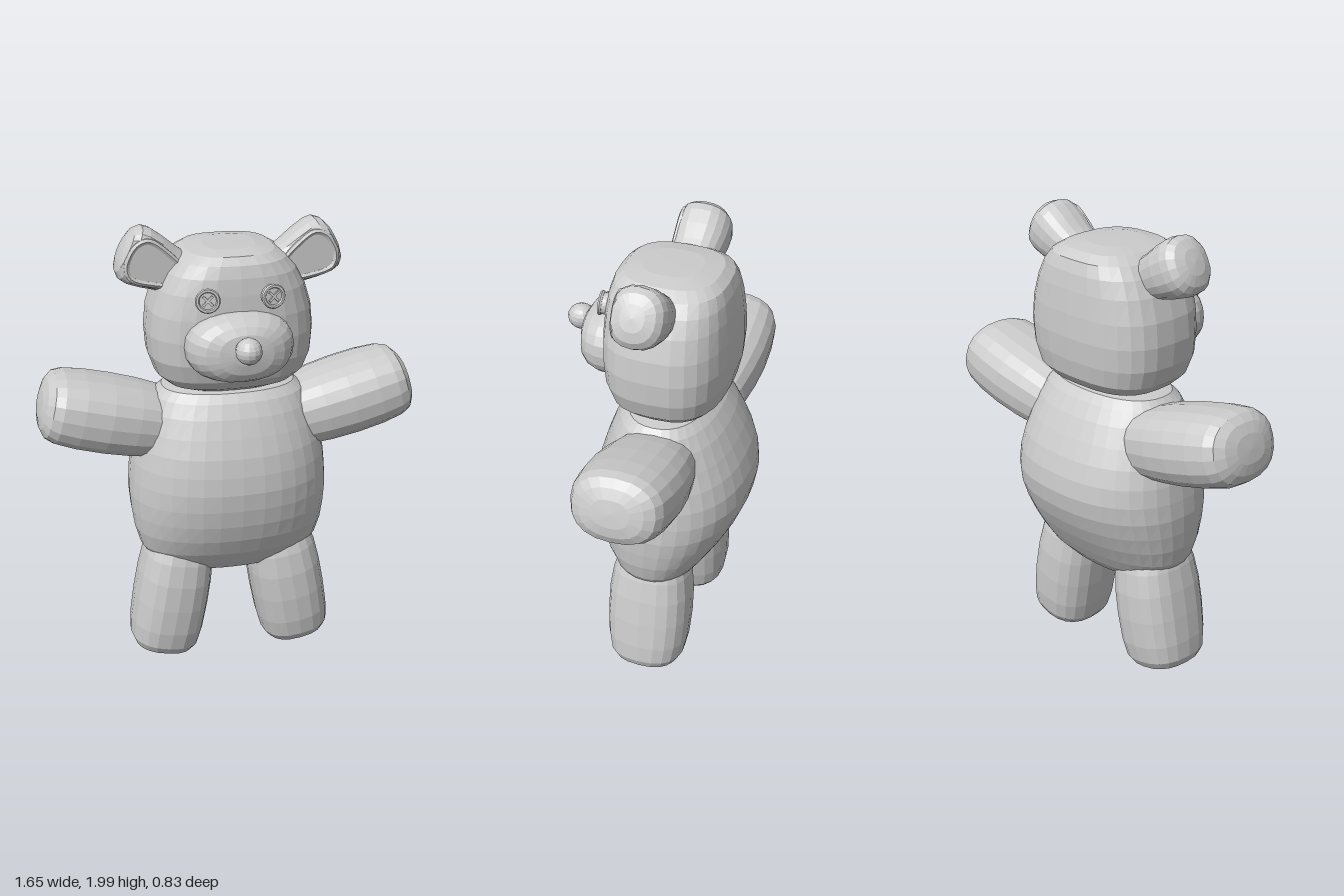
import * as THREE from 'three';

const material = new THREE.MeshStandardMaterial({ color: 0xcccccc, flatShading: true });

// Stacks superellipse sections [y, halfWidth, zFront, zBack] into a closed skin.
function loft(rows, power = 2.3, sides = 24, maxZ = Infinity) {
  const pos = [], index = [];
  const bend = (v) => Math.sign(v) * Math.abs(v) ** (2 / power);
  rows.forEach(([y, rx, zf, zb]) => {
    for (let j = 0; j < sides; j++) {
      const a = (j / sides) * Math.PI * 2;
      const z = (zf + zb) / 2 + ((zf - zb) / 2) * bend(Math.sin(a));
      pos.push(rx * bend(Math.cos(a)), y, Math.min(z, maxZ));
    }
  });
  for (let i = 0; i < rows.length - 1; i++) {
    for (let j = 0; j < sides; j++) {
      const a = i * sides + j, b = i * sides + ((j + 1) % sides);
      index.push(a, a + sides, b, b, a + sides, b + sides);
    }
  }
  const g = new THREE.BufferGeometry();
  g.setAttribute('position', new THREE.Float32BufferAttribute(pos, 3));
  g.setIndex(index);
  g.computeVertexNormals();
  return g;
}

// Sections that are symmetric front to back: [y, halfWidth, halfDepth]
const even = (rows) => rows.map(([y, rx, rz]) => [y, rx, rz, -rz]);

function add(parent, name, geometry, x = 0, y = 0, z = 0) {
  const mesh = new THREE.Mesh(geometry, material);
  mesh.name = name;
  mesh.position.set(x, y, z);
  parent.add(mesh);
  return mesh;
}

function addEar(parent, side, name) {
  const ear = new THREE.Group();
  ear.name = name;
  ear.position.set(side * 0.25, 1.81, side > 0 ? -0.04 : -0.055);
  ear.rotation.z = -side * 1.1;
  add(ear, 'earShell', loft(even([
    [-0.16, 0, 0], [-0.16, 0.08, 0.08], [-0.06, 0.088, 0.098], [0.02, 0.1, 0.11],
    [0.09, 0.116, 0.12], [0.15, 0.125, 0.12], [0.185, 0.12, 0.112],
    [0.21, 0.097, 0.09], [0.225, 0.055, 0.05], [0.23, 0, 0],
  ]), 2.3, 20, 0.088));
  // raised seam around the flat inner ear
  const outline = [[-0.03, -0.03], [0.07, -0.075], [0.155, -0.085], [0.19, -0.05],
    [0.198, 0], [0.19, 0.05], [0.155, 0.085], [0.07, 0.075], [-0.03, 0.03]];
  const path = new THREE.CatmullRomCurve3(outline.map(([u, v]) => new THREE.Vector3(v, u, 0.082)), true);
  add(ear, 'earSeam', new THREE.TubeGeometry(path, 40, 0.013, 6, true));
  parent.add(ear);
}

function addEye(parent, x, name) {
  const eye = new THREE.Group();
  eye.name = name;
  eye.position.set(x, 1.745, 0.2);
  eye.rotation.set(-0.1, Math.sign(x) * 0.15, 0);
  const disc = add(eye, 'button', new THREE.CylinderGeometry(0.045, 0.045, 0.03, 20));
  disc.rotation.x = Math.PI / 2;
  add(eye, 'buttonRim', new THREE.TorusGeometry(0.043, 0.009, 6, 20), 0, 0, 0.014);
  for (const turn of [-1, 1]) {
    const stitch = add(eye, 'stitch', new THREE.BoxGeometry(0.055, 0.01, 0.01), 0, 0, 0.017);
    stitch.rotation.z = turn * Math.PI / 4;
  }
  parent.add(eye);
}

export function createModel() {
  const bear = new THREE.Group();
  bear.name = 'teddyBear';

  // Plump torso, fuller at the back
  add(bear, 'body', loft([
    [0.43, 0, -0.05, -0.05], [0.432, 0.15, 0.03, -0.13], [0.45, 0.27, 0.08, -0.19],
    [0.5, 0.36, 0.125, -0.235], [0.56, 0.4, 0.165, -0.275], [0.64, 0.423, 0.203, -0.325],
    [0.72, 0.434, 0.228, -0.368], [0.8, 0.44, 0.243, -0.4], [0.88, 0.436, 0.25, -0.415],
    [0.96, 0.428, 0.244, -0.408], [1.04, 0.412, 0.23, -0.385], [1.12, 0.388, 0.205, -0.35],
    [1.2, 0.358, 0.175, -0.31], [1.26, 0.328, 0.143, -0.27], [1.295, 0.29, 0.11, -0.235],
    [1.305, 0.2, 0.06, -0.17], [1.305, 0, -0.05, -0.05],
  ], 2.3, 36));

  // Boxy rounded head
  add(bear, 'head', loft([
    [1.295, 0, -0.06, -0.06], [1.298, 0.19, 0.08, -0.19], [1.325, 0.27, 0.13, -0.265],
    [1.37, 0.32, 0.17, -0.303], [1.45, 0.348, 0.195, -0.32], [1.55, 0.355, 0.203, -0.328],
    [1.65, 0.345, 0.203, -0.325], [1.75, 0.315, 0.197, -0.316], [1.82, 0.278, 0.188, -0.305],
    [1.87, 0.235, 0.172, -0.288], [1.9, 0.185, 0.14, -0.25], [1.913, 0.11, 0.07, -0.17],
    [1.915, 0, -0.06, -0.06],
  ], 2.8, 28));

  // Muzzle, lofted towards the front, and nose
  const muzzle = add(bear, 'muzzle', loft(even([
    [0.08, 0, 0], [0.08, 0.2, 0.13], [0.17, 0.228, 0.15], [0.22, 0.224, 0.147],
    [0.265, 0.203, 0.135], [0.3, 0.165, 0.115], [0.32, 0.115, 0.085], [0.33, 0.055, 0.04], [0.331, 0, 0],
  ]), 2.3, 24), -0.008, 1.54, 0);
  muzzle.rotation.x = Math.PI / 2;
  const nose = add(bear, 'nose', new THREE.SphereGeometry(0.055, 14, 10), -0.01, 1.572, 0.36);
  nose.scale.z = 1.1;

  addEye(bear, -0.143, 'rightEye');
  addEye(bear, 0.127, 'leftEye');

  // Paired limbs and ears
  const armShape = loft(even([
    [-0.1, 0, 0], [-0.1, 0.12, 0.14], [0, 0.148, 0.18], [0.12, 0.16, 0.2], [0.24, 0.164, 0.21],
    [0.36, 0.162, 0.207], [0.45, 0.153, 0.195], [0.49, 0.138, 0.175], [0.515, 0.105, 0.135],
    [0.528, 0.06, 0.08], [0.532, 0, 0],
  ]), 2.4, 20);
  const legShape = loft(even([
    [-0.12, 0, 0], [-0.12, 0.1, 0.1], [-0.04, 0.135, 0.14], [0.06, 0.155, 0.17], [0.16, 0.163, 0.183],
    [0.28, 0.165, 0.185], [0.4, 0.162, 0.178], [0.48, 0.153, 0.163], [0.515, 0.132, 0.14],
    [0.532, 0.09, 0.095], [0.538, 0, 0],
  ]), 2.5, 20);
  for (const side of [-1, 1]) {
    const label = side > 0 ? 'left' : 'right';
    addEar(bear, side, label + 'Ear');
    const arm = add(bear, label + 'Arm', armShape, side * 0.3, 1.115, side > 0 ? -0.075 : -0.1);
    arm.rotation.z = -side * (Math.PI / 2 - 0.25);
    const leg = add(bear, label + 'Leg', legShape, side * 0.225, 0.555, -0.045);
    leg.rotation.z = -side * (Math.PI - 0.17);
  }
  return bear;
}
